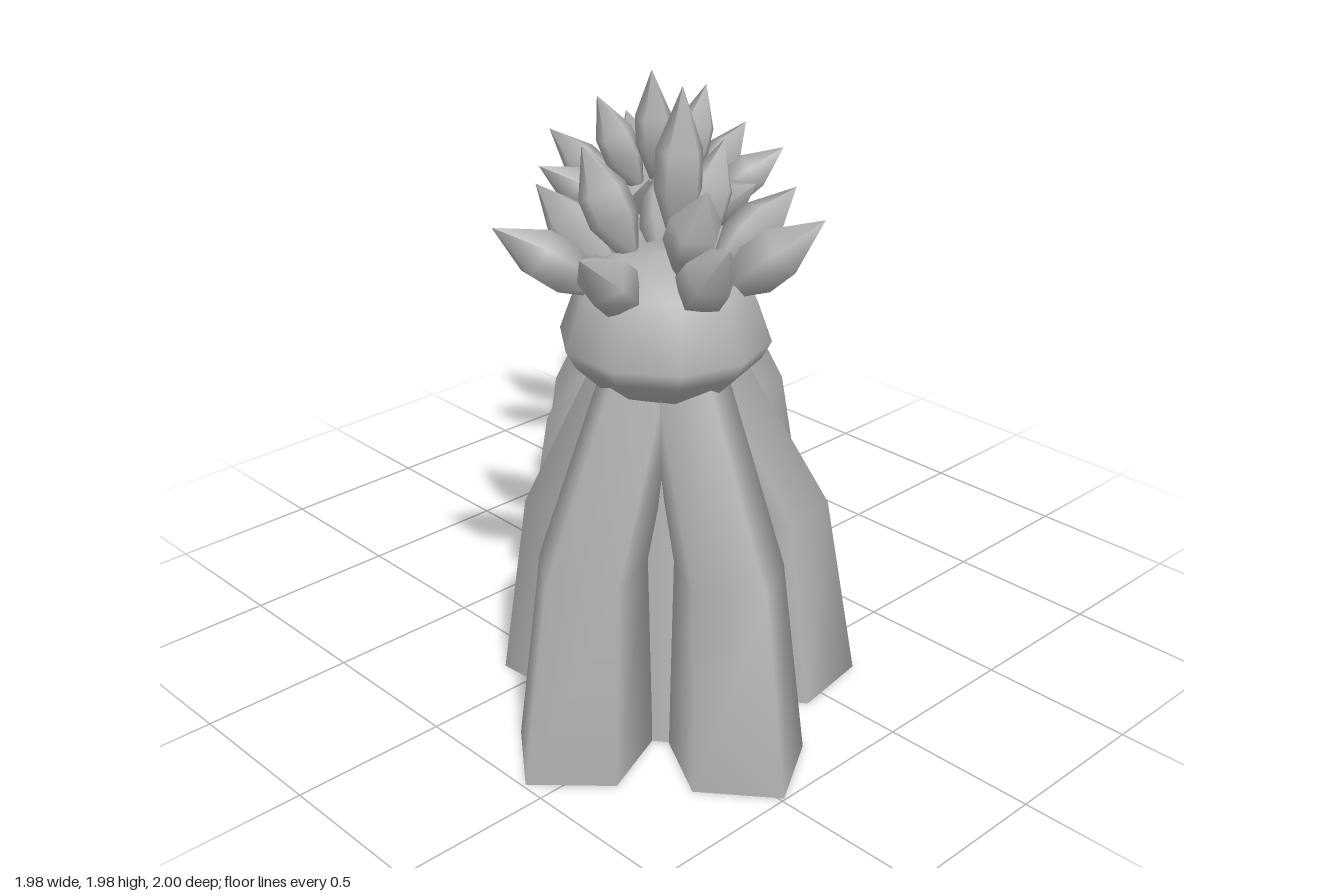
import * as THREE from 'three';
import { toCreasedNormals } from 'three/addons/utils/BufferGeometryUtils.js';

// Double sided because the legs and trunk are open underneath
const stone = new THREE.MeshStandardMaterial({ color: 0xb3b3b3, side: THREE.DoubleSide });
stone.name = 'stone grey';

const SIDES = 5;
// Leg cross-sections: height, distance of the centre line (1 = at the foot), radius, outer point stretch
const LEG_RINGS = [
  [0, 1, 0.215, 1.13],
  [0.62, 0.87, 0.17, 1.1],
  [1.17, 0.25, 0.128, 1.05],
  [1.3, 0.14, 0.11, 1],
];

// One root-like leg: an open pentagon lofted from the foot up into the cap
function makeLeg(apexX, apexZ, facingDegrees, scale) {
  const facing = THREE.MathUtils.degToRad(facingDegrees);
  const reach = LEG_RINGS[0][2] * LEG_RINGS[0][3] * scale;
  const footX = apexX - Math.cos(facing) * reach;
  const footZ = apexZ - Math.sin(facing) * reach;
  const positions = [];
  const index = [];
  for (const [y, out, radius, stretch] of LEG_RINGS) {
    for (let i = 0; i < SIDES; i++) {
      const a = facing + (i / SIDES) * Math.PI * 2;
      const r = radius * scale * (i === 0 ? stretch : 1);
      positions.push(footX * out + Math.cos(a) * r, y * scale, footZ * out + Math.sin(a) * r);
    }
  }
  for (let k = 0; k < LEG_RINGS.length - 1; k++) {
    for (let i = 0; i < SIDES; i++) {
      const a = k * SIDES + i;
      const b = k * SIDES + ((i + 1) % SIDES);
      index.push(a, a + SIDES, b, a + SIDES, b + SIDES, b);
    }
  }
  const geometry = new THREE.BufferGeometry();
  geometry.setAttribute('position', new THREE.Float32BufferAttribute(positions, 3));
  geometry.setIndex(index);
  const mesh = new THREE.Mesh(toCreasedNormals(geometry, 1.6), stone);
  mesh.name = 'leg';
  return mesh;
}

// Turned part from pairs of radius and height, listed upwards
function makeTurned(name, pairs, sides) {
  const profile = pairs.map(([r, y]) => new THREE.Vector2(r, y));
  const mesh = new THREE.Mesh(new THREE.LatheGeometry(profile, sides), stone);
  mesh.name = name;
  return mesh;
}

// Bulging cap that ties the legs together
const CAP = [
  [0, 1.02], [0.12, 1.05], [0.205, 1.115], [0.285, 1.195], [0.315, 1.25],
  [0.272, 1.37], [0.24, 1.44], [0.14, 1.49], [0, 1.51],
];
// Core closing the gaps between the legs
const TRUNK = [[0.26, 0], [0.2, 0.6], [0.13, 1.15]];
// Bud: share of radius, share of length
const BUD = [[0, 0], [0.35, 0], [0.98, 0.32], [0.95, 0.58], [0, 1]];

// Pointed bud running from a base point to a tip
function makeSpike(base, tip, radius) {
  const axis = tip.clone().sub(base);
  const length = axis.length();
  const mesh = makeTurned('spike', BUD.map(([r, t]) => [r * radius, t * length]), SIDES);
  mesh.position.copy(base);
  mesh.quaternion.setFromUnitVectors(new THREE.Vector3(0, 1, 0), axis.normalize());
  return mesh;
}

// A whole plant; all listed points are in model space
function makePlant({ name, x, z, scale, capWidth, legs, outer, inner, top }) {
  const plant = new THREE.Group();
  plant.name = name;
  plant.position.set(x, 0, z);

  const cap = makeTurned('cap', CAP, 10);
  cap.scale.set(scale * capWidth, scale, scale);
  const trunk = makeTurned('trunk', TRUNK, 10);
  trunk.scale.setScalar(scale);
  plant.add(cap, trunk);
  for (const [lx, lz, facing] of legs) plant.add(makeLeg(lx - x, lz - z, facing, scale));

  const addRing = (tips, share, baseY) => {
    for (const [tx, ty, tz] of tips) {
      const tip = new THREE.Vector3(tx - x, ty, tz - z);
      const base = new THREE.Vector3(tip.x * share, baseY * scale, tip.z * share);
      plant.add(makeSpike(base, tip, 0.082 * scale));
    }
  };
  addRing(outer, 0.4, 1.41);
  addRing(inner, 0.42, 1.48);

  // Upright spike on the crown
  const tip = new THREE.Vector3(top[0] - x, top[1], top[2] - z);
  const base = new THREE.Vector3(tip.x * 0.7, 1.53 * scale, tip.z * 0.7);
  plant.add(makeSpike(base, tip, 0.076 * scale));
  return plant;
}

export function createModel() {
  const model = new THREE.Group();
  model.name = 'spikyPlants';
  model.add(makePlant({
    name: 'tallPlant', x: -0.37, z: 0.37, scale: 1, capWidth: 1,
    // Foot point x, z and facing angle
    legs: [
      [-0.487, 0.995, 100], [0.19, 0.672, 40], [0.165, 0.028, -44],
      [-0.386, -0.24, -76], [-0.99, 0.42, 176],
    ],
    outer: [
      [-0.455, 1.62, -0.1], [-0.05, 1.655, 0.04], [0.13, 1.6, 0.42], [-0.145, 1.65, 0.78],
      [-0.535, 1.66, 0.79], [-0.8, 1.62, 0.49], [-0.8, 1.62, 0.12],
    ],
    inner: [[-0.465, 1.79, 0.123], [-0.1, 1.78, 0.34], [-0.46, 1.77, 0.63]],
    top: [-0.283, 1.975, 0.352],
  }));
  model.add(makePlant({
    name: 'shortPlant', x: 0.41, z: -0.44, scale: 0.9, capWidth: 0.93,
    legs: [
      [0.344, -1, -84], [0.99, -0.61, 16], [0.883, -0.185, 39],
      [0.254, 0.125, 118], [-0.153, -0.582, 208],
    ],
    outer: [
      [0.264, 1.48, -0.885], [0.62, 1.48, -0.87], [-0.01, 1.46, -0.62], [0.88, 1.46, -0.51],
      [0.72, 1.47, -0.175], [0.4, 1.45, 0], [0.07, 1.5, -0.165],
    ],
    inner: [[0.265, 1.65, -0.63], [0.655, 1.645, -0.49], [0.3, 1.65, -0.235]],
    top: [0.335, 1.765, -0.43],
  }));
  return model;
}
